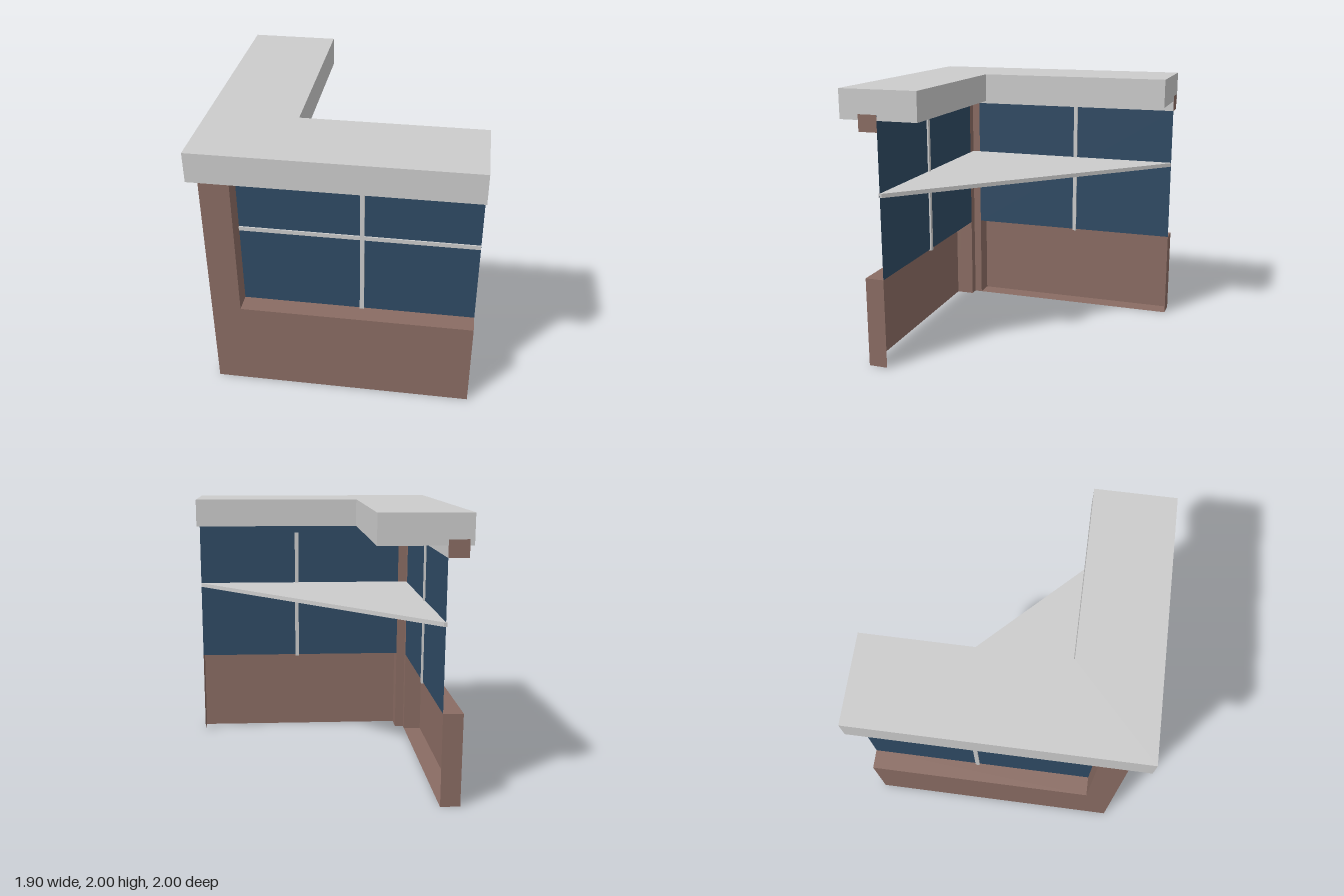
import * as THREE from 'three';
import { mergeGeometries } from 'three/addons/utils/BufferGeometryUtils.js';

const grey = new THREE.MeshStandardMaterial({ color: 0xcccccc, side: THREE.DoubleSide });
const brick = new THREE.MeshStandardMaterial({ color: 0x8a6c63, side: THREE.DoubleSide });
const glass = new THREE.MeshStandardMaterial({ color: 0x2f4a64, side: THREE.DoubleSide });

const X0 = -0.92, Z0 = 0.86;              // outer corner of the walls
const T = 0.14;                           // wall thickness
const SILL = 0.665, HEAD = 1.71, TOP = 1.83;

// Wall coordinates: u along the wall from the corner, y up, d depth inwards
const onFront = (u, y, d) => [X0 + u, y, Z0 - d];
const onSide = (u, y, d) => [X0 + d, y, Z0 - u];

// Axis-aligned rectangle between two opposite corners in wall coordinates
function rect(map, [u0, y0, d0], [u1, y1, d1]) {
  const c = d0 === d1 ? [[u0, y0, d0], [u1, y0, d0], [u1, y1, d0], [u0, y1, d0]]
    : y0 === y1 ? [[u0, y0, d0], [u1, y0, d0], [u1, y0, d1], [u0, y0, d1]]
      : [[u0, y0, d0], [u0, y0, d1], [u0, y1, d1], [u0, y1, d0]];
  const g = new THREE.BufferGeometry();
  g.setAttribute('position', new THREE.Float32BufferAttribute(c.flatMap(p => map(...p)), 3));
  g.setIndex([0, 1, 2, 0, 2, 3]);
  g.computeVertexNormals();
  return g;
}

// Horizontal slab from an outline of [x, z] points
function slab(outline, y0, y1) {
  const shape = new THREE.Shape(outline.map(([x, z]) => new THREE.Vector2(x, -z)));
  const g = new THREE.ExtrudeGeometry(shape, { depth: y1 - y0, bevelEnabled: false });
  return g.rotateX(-Math.PI / 2).translate(0, y0, 0);
}

export function createModel() {
  const model = new THREE.Group();
  const add = (name, geometry, material) => {
    const mesh = new THREE.Mesh(geometry, material);
    mesh.name = name;
    model.add(mesh);
  };

  const walls = [
    { name: 'front', map: onFront, end: 1.871, jamb: 0.21, glassTop: TOP, post: 1.07 },
    { name: 'side', map: onSide, end: 1.861, jamb: 0.2, glassTop: HEAD, post: 1.06 },
  ];
  for (const { name, map, end, jamb, glassTop, post } of walls) {
    const r = (a, b) => rect(map, a, b);
    // Low wall: outer face, sill and end; open on the inside
    add(name + 'LowWall', mergeGeometries([
      r([jamb, 0, 0], [end, SILL, 0]),
      r([jamb, SILL, 0], [end, SILL, T]),
      r([end, 0, 0], [end, SILL, T]),
    ]), brick);
    // Corner column half: outer face, jamb, inner return and underside
    add(name + 'Column', mergeGeometries([
      r([0, 0, 0], [jamb, TOP, 0]),
      r([jamb, 0, 0], [jamb, TOP, T]),
      r([T, 0, T], [jamb, HEAD, T]),
      r([name === 'front' ? T : 0, 0, 0], [jamb, 0, T]),
    ]), brick);
    // Lintel: outer face, soffit and end
    add(name + 'Lintel', mergeGeometries([
      r([jamb, HEAD, 0], [end, TOP, 0]),
      r([jamb, HEAD, 0], [end, HEAD, T]),
      r([end, HEAD, 0], [end, TOP, T]),
    ]), brick);
    add(name + 'Glass', r([jamb, SILL, T], [end, glassTop, T]), glass);
    // Vertical mullion, proud of the glass on both sides
    const size = name === 'front' ? [0.03, HEAD - 0.655, 0.026] : [0.026, HEAD - 0.655, 0.03];
    add(name + 'Mullion', new THREE.BoxGeometry(...size)
      .translate(...map(post, (HEAD + 0.655) / 2, T)), grey);
  }

  // Underside of the side wall and its grey inner head strip
  add('sideWallBase', rect(onSide, [0.2, 0, 0], [1.861, 0, T]), brick);
  add('sideHeadStrip', rect(onSide, [T, HEAD, T], [1.86, 1.79, T]), grey);

  // Triangular transom slab spanning between both window walls
  add('transom', slab([[-0.79, 0.73], [0.95, 0.73], [0.95, 0.705], [-0.765, -1], [-0.79, -1]], 1.26, 1.29), grey);

  // L-shaped roof slab
  add('roof', slab([[-0.95, 1], [0.95, 1], [0.95, 0.42], [-0.32, 0.42], [-0.32, -1], [-0.95, -1]], 1.79, 2), grey);

  return model;
}
